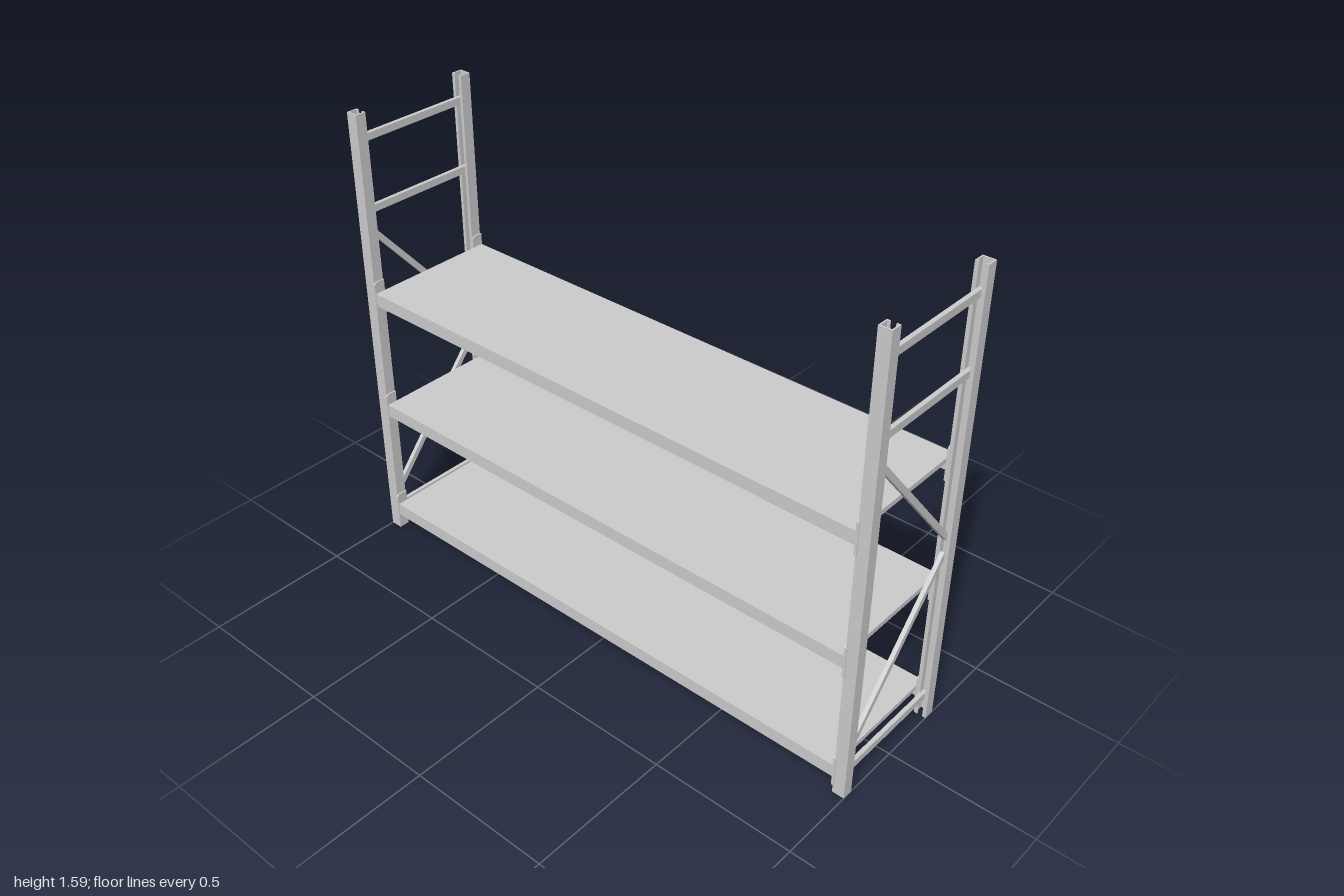
import * as THREE from 'three';

const grey = new THREE.MeshStandardMaterial({ color: 0xcccccc, flatShading: true, side: THREE.DoubleSide });

function add(parent, name, geometry, x = 0, y = 0, z = 0) {
  const mesh = new THREE.Mesh(geometry, grey);
  mesh.name = name;
  mesh.position.set(x, y, z);
  parent.add(mesh);
  return mesh;
}

const box = (w, h, d) => new THREE.BoxGeometry(w, h, d);

const HEIGHT = 1.59, HALF_DEPTH = 0.238, POST = 0.042, POST_DEPTH = 0.038, INNER = 1 - POST;
const WALL = 0.005, LIP = 0.012;

// Lipped channel, closed on the outer z face and open toward the middle of the rack
function postGeometry(zSide) {
  const a = POST / 2, d = POST_DEPTH;
  const points = [
    [-a + LIP, 0], [-a, 0], [-a, d], [a, d], [a, 0], [a - LIP, 0],
    [a - LIP, WALL], [a - WALL, WALL], [a - WALL, d - WALL],
    [-a + WALL, d - WALL], [-a + WALL, WALL], [-a + LIP, WALL],
  ].map(([x, z]) => new THREE.Vector2(x, -zSide * z));
  const geo = new THREE.ExtrudeGeometry(new THREE.Shape(points), { depth: HEIGHT, bevelEnabled: false });
  return geo.rotateX(-Math.PI / 2);
}

// Straight brace between two (z, y) points
function brace(parent, name, z1, y1, z2, y2, width) {
  const bar = add(parent, name, box(0.014, width, Math.hypot(z2 - z1, y2 - y1)), 0, (y1 + y2) / 2, (z1 + z2) / 2);
  bar.rotation.x = -Math.atan2(y2 - y1, z2 - z1);
}

function endFrame(xSide) {
  const frame = new THREE.Group();
  frame.name = xSide > 0 ? 'leftEndFrame' : 'rightEndFrame';
  frame.position.x = xSide * (1 - POST / 2);
  for (const s of [1, -1]) add(frame, s > 0 ? 'frontPost' : 'backPost', postGeometry(s), 0, 0, s * (HALF_DEPTH - POST_DEPTH));
  for (const y of [0.083, 1.255, 1.5]) brace(frame, 'horizontalBrace', -0.215, y, 0.215, y, 0.025);
  brace(frame, 'upperDiagonalBrace', -0.21, 0.698, 0.21, 1.185, 0.02);
  brace(frame, 'lowerDiagonalBrace', -0.21, 0.642, 0.21, 0.153, 0.02);
  return frame;
}

// Beam end plate with clipped inner corners, folded round the outer face of the post
function connector(xSide, zSide) {
  const g = new THREE.Group();
  g.name = 'beamConnector';
  const h = 0.0625, d = 0.04, c = 0.008;
  const outline = new THREE.Shape([
    [0, -h], [d - c, -h], [d, -h + c], [d, h - c], [d - c, h], [0, h],
  ].map(([z, y]) => new THREE.Vector2(z, y)));
  const plate = new THREE.ExtrudeGeometry(outline, { depth: 0.005, bevelEnabled: false });
  plate.rotateY(-Math.PI / 2);
  add(g, 'connectorPlate', plate, xSide > 0 ? INNER : -INNER + 0.005, 0, zSide > 0 ? 0.2 : -0.24);
  add(g, 'connectorFlange', box(0.007, 2 * h - 0.016, 0.003), xSide * (INNER + 0.0015), 0, zSide * 0.2395);
  return g;
}

// Two edge beams, a deck between them and four connectors
function shelf(top) {
  const g = new THREE.Group();
  g.name = 'shelf';
  g.position.y = top;
  const length = 2 * (INNER - 0.005), beamH = 0.046, beamD = 0.03;
  for (const z of [1, -1]) {
    add(g, z > 0 ? 'frontBeam' : 'backBeam', box(length, beamH, beamD), 0, -beamH / 2, z * (HALF_DEPTH - beamD / 2));
    for (const x of [1, -1]) {
      const c = connector(x, z);
      c.position.y = -0.022;
      g.add(c);
    }
  }
  add(g, 'deck', box(length, 0.017, 2 * (HALF_DEPTH - beamD)), 0, -0.0085, 0);
  return g;
}

export function createModel() {
  const rack = new THREE.Group();
  rack.name = 'shelvingRack';
  for (const x of [1, -1]) rack.add(endFrame(x));
  for (const y of [0.106, 0.532, 0.968]) rack.add(shelf(y));
  return rack;
}
